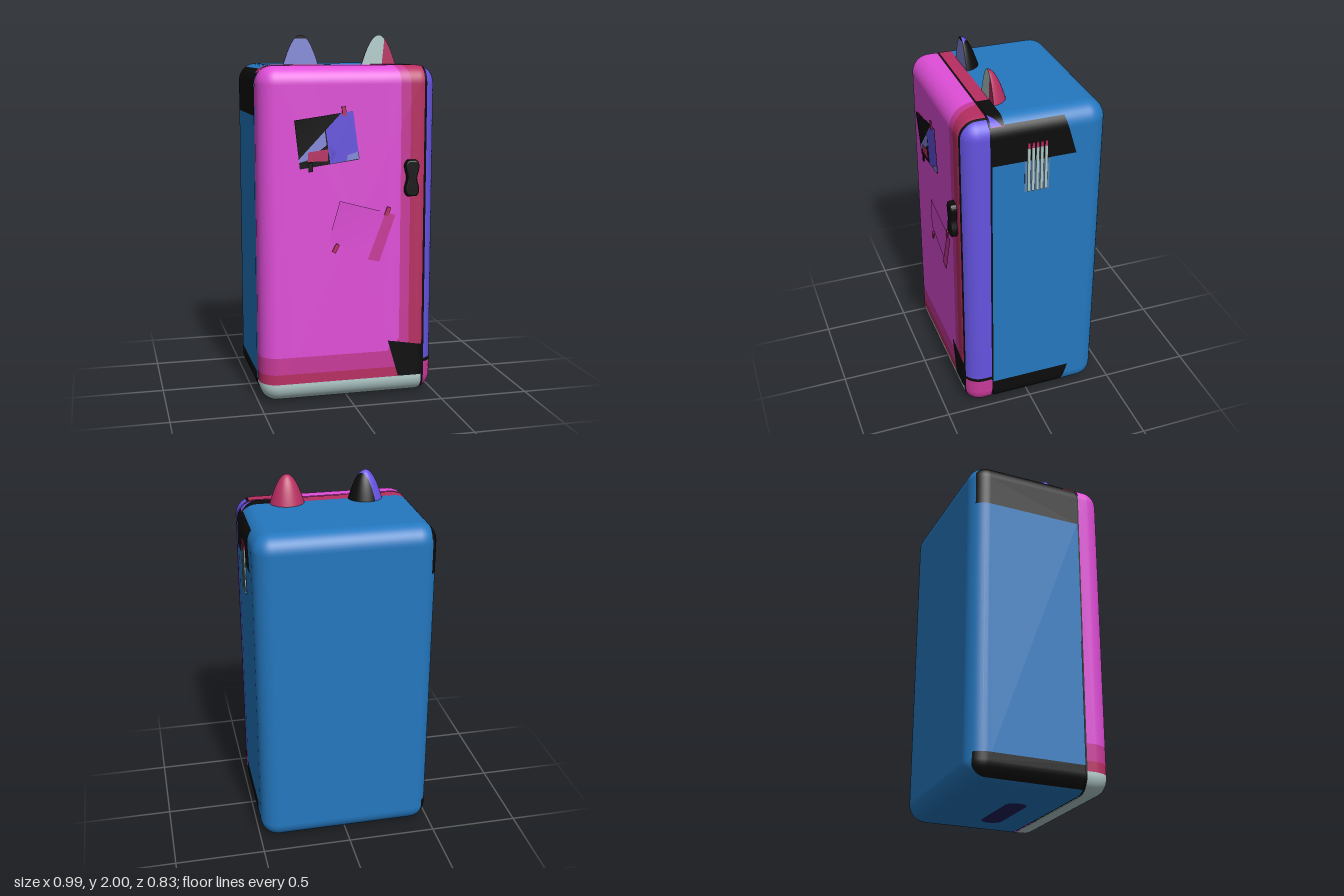
import * as THREE from 'three';
import { RoundedBoxGeometry } from 'three/addons/geometries/RoundedBoxGeometry.js';

function mat(name, color) {
  const m = new THREE.MeshStandardMaterial({ color, side: THREE.DoubleSide });
  m.name = name;
  return m;
}

// Clip a polygon of [x,y,z,nx,ny,nz] points against a*x + b*y + c*z > d
function split(poly, [a, b, c, d]) {
  const inside = [], outside = [];
  const dist = p => a * p[0] + b * p[1] + c * p[2] - d;
  poly.forEach((p, i) => {
    const q = poly[(i + 1) % poly.length], dp = dist(p), dq = dist(q);
    (dp > 0 ? inside : outside).push(p);
    if ((dp > 0) !== (dq > 0)) {
      const m = p.map((v, k) => v + (q[k] - v) * dp / (dp - dq));
      inside.push(m);
      outside.push(m);
    }
  });
  return [inside, outside];
}

// Cut a surface into flat colour regions; each region is [material, ...half-spaces].
// A null material removes that piece. The rest gets the base material.
function painted(name, geometry, base, regions) {
  const g = geometry.index ? geometry.toNonIndexed() : geometry;
  const P = g.attributes.position, N = g.attributes.normal;
  let rest = [];
  for (let i = 0; i < P.count; i += 3) {
    rest.push([0, 1, 2].map(k => [P.getX(i + k), P.getY(i + k), P.getZ(i + k),
      N.getX(i + k), N.getY(i + k), N.getZ(i + k)]));
  }
  const pieces = new Map();
  const add = (m, polys) => pieces.set(m, (pieces.get(m) || []).concat(polys));
  for (const [material, ...spaces] of regions) {
    const next = [], taken = [];
    for (let poly of rest) {
      for (const s of spaces) {
        const [inside, outside] = split(poly, s);
        if (outside.length > 2) next.push(outside);
        poly = inside;
        if (poly.length < 3) break;
      }
      if (poly.length > 2) taken.push(poly);
    }
    if (material) add(material, taken);
    rest = next;
  }
  add(base, rest);

  const pos = [], nor = [], out = new THREE.BufferGeometry();
  const materials = [...pieces.keys()];
  materials.forEach((m, mi) => {
    const start = pos.length / 3;
    for (const poly of pieces.get(m)) {
      for (let k = 1; k < poly.length - 1; k++) {
        for (const v of [poly[0], poly[k], poly[k + 1]]) {
          pos.push(v[0], v[1], v[2]);
          nor.push(v[3], v[4], v[5]);
        }
      }
    }
    out.addGroup(start, pos.length / 3 - start, mi);
  });
  out.setAttribute('position', new THREE.Float32BufferAttribute(pos, 3));
  out.setAttribute('normal', new THREE.Float32BufferAttribute(nor, 3));
  const mesh = new THREE.Mesh(out, materials);
  mesh.name = name;
  return mesh;
}

function roundedRect(w, h, r) {
  const s = new THREE.Shape(), x = w / 2 - r, y = h / 2 - r;
  s.absarc(x, y, r, 0, Math.PI / 2);
  s.absarc(-x, y, r, Math.PI / 2, Math.PI);
  s.absarc(-x, -y, r, Math.PI, Math.PI * 1.5);
  s.absarc(x, -y, r, Math.PI * 1.5, Math.PI * 2);
  return s;
}

export function createModel() {
  const model = new THREE.Group();
  const pink = mat('pink', 0xe04ed8), stripe = mat('stripe pink', 0xc93a9a);
  const crimson = mat('crimson', 0xb82f62), black = mat('black', 0x0c0c0c);
  const blue = mat('blue', 0x2478c0), purple = mat('purple', 0x6553e0);
  const pale = mat('pale grey', 0xb4cdcd), lavender = mat('lavender', 0x8389d8);
  const steel = mat('steel blue', 0x5a86b0), indigo = mat('indigo', 0x20205c);
  const mesh = (name, g, m, x = 0, y = 0, z = 0) => {
    const o = new THREE.Mesh(g, m);
    o.name = name;
    o.position.set(x, y, z);
    model.add(o);
    return o;
  };

  // Cabinet and door share one rounded block, cut just behind the door
  const shell = () => new RoundedBoxGeometry(0.98, 1.84, 0.795, 6, 0.1).translate(0, 0.92, -0.0175);
  model.add(painted('cabinet', shell(), blue, [
    [null, [0, 0, 1, 0.222]],
    [purple, [0, 1, 0, 1.8], [1, 0, 0, 0.4], [0.8, 0, 1, 0.54], [-1, 0, 0, -0.468]],
    [black, [0, 1, 0, 1.8], [0, 0, 1, 0.15], [1, 0, 0, 0.24], [-1, 0, 0, -0.468]],
    [crimson, [0, 1, 0, 1.8], [0, 0, 1, 0.15], [1, 0, 0, -0.47]],
    [black, [1, 0, 0, 0.465], [0, 1, 0, 1.59], [0, -0.3, 1, -0.713]],
    [black, [1, 0, 0, 0.465], [0, -1, 0, -0.16], [0, 0.3, 1, -0.19]],
    [black, [-1, 0, 0, 0.45], [0, 1, 0, 1.57], [0, 0, 1, -0.39]],
    [black, [-1, 0, 0, 0.45], [0, -1, 0, -0.14], [0, 0, 1, -0.39]],
  ]));
  model.add(painted('door', shell(), pink, [
    [null, [0, 0, -1, -0.23]],
    [purple, [1, 0, 0, 0.432], [0, 1, 0, 0.2]],
    [black, [1, 0, 0, 0.432], [0, 1, 0, 0.18]],
    [stripe, [1, 0, 0, 0.432]],
    [black, [1, 0, 0, 0.418]],
    [pale, [0, -1, 0, -0.11]],
    [black, [1, 0.29, 0, 0.313], [1, 0, 0, 0.22], [-0.17, -1, 0, -0.357]],
    [crimson, [0, -1, 0, -0.165]],
    [crimson, [1, 0, -0.45, 0.169]],
    [stripe, [0, -1, 0, -0.26]],
    [stripe, [1, 0, -0.35, 0.152]],
    [stripe, [1, -1, 0, -0.045], [0, -1, 0, -0.34]],
  ]));

  // Seal closing the gap, and the plate underneath
  mesh('seal', new THREE.ExtrudeGeometry(roundedRect(0.968, 1.828, 0.094),
    { depth: 0.02, bevelEnabled: false, curveSegments: 8 }), black, 0, 0.92, 0.216);
  mesh('basePlate', new THREE.ShapeGeometry(roundedRect(0.42, 0.12, 0.055)), indigo, 0.05, -0.001, 0)
    .rotation.x = Math.PI / 2;

  // Ears: half of a turned bullet with a flat front
  const profile = [];
  for (let i = 0; i <= 14; i++) {
    const r = 0.098 * (1 - i / 14);
    profile.push(new THREE.Vector2(Math.max(r, 0), 0));
  }
  profile.forEach((p, i) => {
    p.x = 0.098 * Math.cos(i / 14 * Math.PI / 2);
    p.y = 0.165 * (1 - (p.x / 0.098) ** 2);
  });
  const ear = (name, x, front, frontRegions, back, backRegions) => {
    const g = new THREE.LatheGeometry(profile, 20, Math.PI / 2, Math.PI)
      .scale(1, 1, 0.95).translate(x, 1.835, 0.152);
    const outline = profile.concat(profile.slice(0, -1).reverse().map(p => new THREE.Vector2(-p.x, p.y)));
    const face = new THREE.ShapeGeometry(new THREE.Shape(outline)).translate(x, 1.835, 0.152);
    model.add(painted(name + 'Back', g, back, backRegions), painted(name + 'Front', face, front, frontRegions));
  };
  ear('leftEar', 0.22, pale, [[crimson, [1, -0.1, 0, 0.055]]], crimson, []);
  ear('rightEar', -0.22, lavender, [[black, [0, 1, 0, 1.98]]], purple, [[black, [1, 0, -1, -0.33]]]);

  // Door handle with two bulbs and a waist
  const grip = new THREE.Shape();
  grip.moveTo(-0.02, -0.09);
  grip.lineTo(0.02, -0.09);
  grip.bezierCurveTo(0.045, -0.07, 0.02, -0.03, 0.018, 0);
  grip.bezierCurveTo(0.02, 0.03, 0.045, 0.07, 0.02, 0.09);
  grip.lineTo(-0.02, 0.09);
  grip.bezierCurveTo(-0.045, 0.07, -0.02, 0.03, -0.018, 0);
  grip.bezierCurveTo(-0.02, -0.03, -0.045, -0.07, -0.02, -0.09);
  mesh('handle', new THREE.ExtrudeGeometry(grip,
    { depth: 0.02, bevelSize: 0.009, bevelThickness: 0.012, bevelSegments: 3 }), black, 0.343, 1.232, 0.383);

  // Papers on the door, as flat polygons; a third value lifts a curled corner
  const sheet = (name, m, z, ...pts) => {
    const g = new THREE.BufferGeometry().setFromPoints(pts.map(p => new THREE.Vector3(p[0], p[1], p[2] || z)));
    const index = [];
    for (let i = 1; i < pts.length - 1; i++) index.push(0, i, i + 1);
    g.setIndex(index);
    g.computeVertexNormals();
    mesh(name, g, m);
  };
  sheet('picture', black, 0.383, [-0.275, 1.295], [0.05, 1.34], [0.015, 1.6], [-0.307, 1.555, 0.398]);
  sheet('pictureRight', purple, 0.386, [-0.11, 1.32], [0.05, 1.345], [0.015, 1.6], [-0.145, 1.578], [-0.12, 1.46], [-0.075, 1.385]);
  sheet('pictureLeft', lavender, 0.386, [-0.28, 1.33], [-0.24, 1.34], [-0.13, 1.42], [-0.145, 1.545], [-0.3, 1.52]);
  sheet('pictureStrip', crimson, 0.389, [-0.3, 1.53], [-0.19, 1.545], [-0.185, 1.572], [-0.307, 1.555]);
  sheet('pictureBlock', crimson, 0.389, [-0.235, 1.335], [-0.125, 1.335], [-0.12, 1.4], [-0.23, 1.385]);
  sheet('pictureCorner', lavender, 0.389, [-0.02, 1.335], [0.05, 1.345], [0.045, 1.385], [-0.015, 1.365]);
  sheet('note', pink, 0.384, [-0.12, 0.9], [0.11, 0.82], [0.245, 1.035], [-0.06, 1.12, 0.398]);
  sheet('noteFold', stripe, 0.387, [0.1, 0.79], [0.165, 0.775], [0.255, 1.03], [0.2, 1.05]);
  const tabs = [[-0.035, 1.6, 0.1, crimson], [0.21, 1.052, -0.35, crimson],
    [-0.08, 0.86, -0.5, crimson], [-0.218, 1.305, 0, black]];
  for (const [x, y, turn, m] of tabs) {
    mesh('tape', new THREE.BoxGeometry(0.022, 0.05, 0.006), m, x, y, 0.389).rotation.z = turn;
  }

  // Pencils in a pocket on the left side
  mesh('pocket', new THREE.BoxGeometry(0.006, 0.18, 0.135), steel, 0.489, 1.5, -0.02);
  for (let i = 0; i < 5; i++) {
    const z = 0.025 - i * 0.0235;
    mesh('pencil', new THREE.CylinderGeometry(0.009, 0.009, 0.25, 8), pale, 0.489, 1.538, z);
    mesh('pencilTip', new THREE.CylinderGeometry(0.007, 0.009, 0.03, 8), crimson, 0.489, 1.677, z);
  }
  return model;
}
